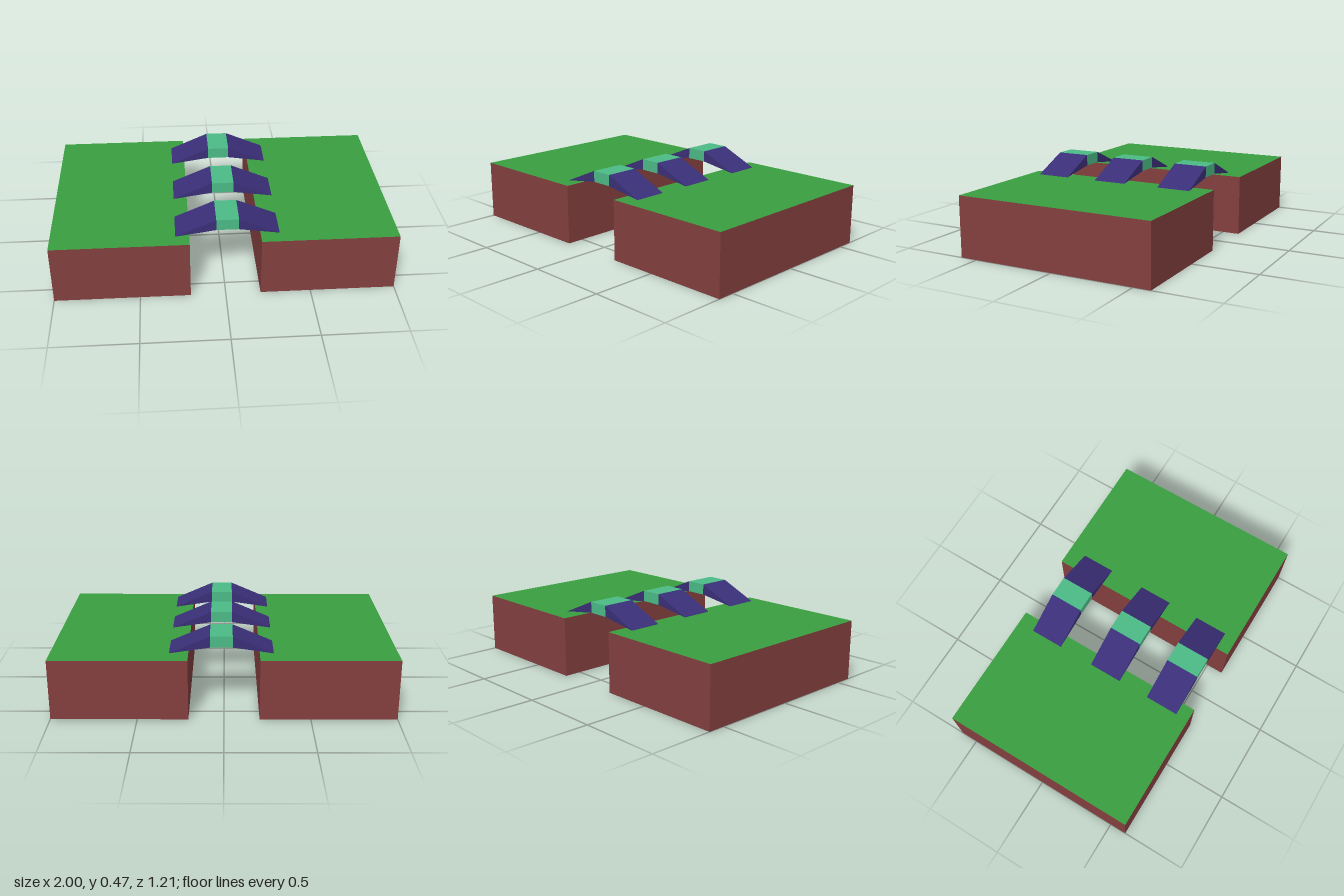
import * as THREE from 'three';

const paint = (color) => new THREE.MeshStandardMaterial({ color, flatShading: true });

function box(name, x0, x1, y0, y1, depth, materials) {
  const mesh = new THREE.Mesh(new THREE.BoxGeometry(x1 - x0, y1 - y0, depth), materials);
  mesh.position.set((x0 + x1) / 2, (y0 + y1) / 2, 0);
  mesh.name = name;
  return mesh;
}

// Wedge extruded along z; faces that point down get the second material
function ramp(name, points, depth, materials) {
  const shape = new THREE.Shape(points.map(([x, y]) => new THREE.Vector2(x, y)));
  const geometry = new THREE.ExtrudeGeometry(shape, { depth, bevelEnabled: false });
  geometry.translate(0, 0, -depth / 2);
  geometry.clearGroups();
  const normal = geometry.attributes.normal;
  for (let i = 0; i < normal.count; i += 3) {
    geometry.addGroup(i, 3, normal.getY(i) < -0.1 ? 1 : 0);
  }
  const mesh = new THREE.Mesh(geometry, materials);
  mesh.name = name;
  return mesh;
}

export function createModel() {
  const model = new THREE.Group();
  model.name = 'bridgedBanks';
  const soil = paint(0x843f3f);
  const grass = paint(0x3a9f40);
  const purple = paint(0x3a2f78);
  const mint = paint(0x4cbb87);
  const grey = paint(0x888888);

  // Two soil banks with grass tops
  const bankFaces = [soil, soil, grass, soil, soil, soil];
  model.add(box('leftBank', 0.205, 1, 0, 0.363, 1.208, bankFaces));
  model.add(box('rightBank', -1, -0.205, 0, 0.363, 1.208, bankFaces));

  // Three small bridges across the gap
  const width = 0.204;
  [-0.396, 0.026, 0.423].forEach((z, i) => {
    const bridge = new THREE.Group();
    bridge.name = `bridge${i + 1}`;
    bridge.position.z = z;
    bridge.add(box('deck', -0.05, 0.08, 0.402, 0.469, width, mint));
    bridge.add(ramp('leftRamp', [[0.08, 0.402], [0.315, 0.367], [0.08, 0.469]], width, [purple, grey]));
    bridge.add(ramp('rightRamp', [[-0.05, 0.402], [-0.05, 0.469], [-0.285, 0.367]], width, [purple, grey]));
    model.add(bridge);
  });
  return model;
}
